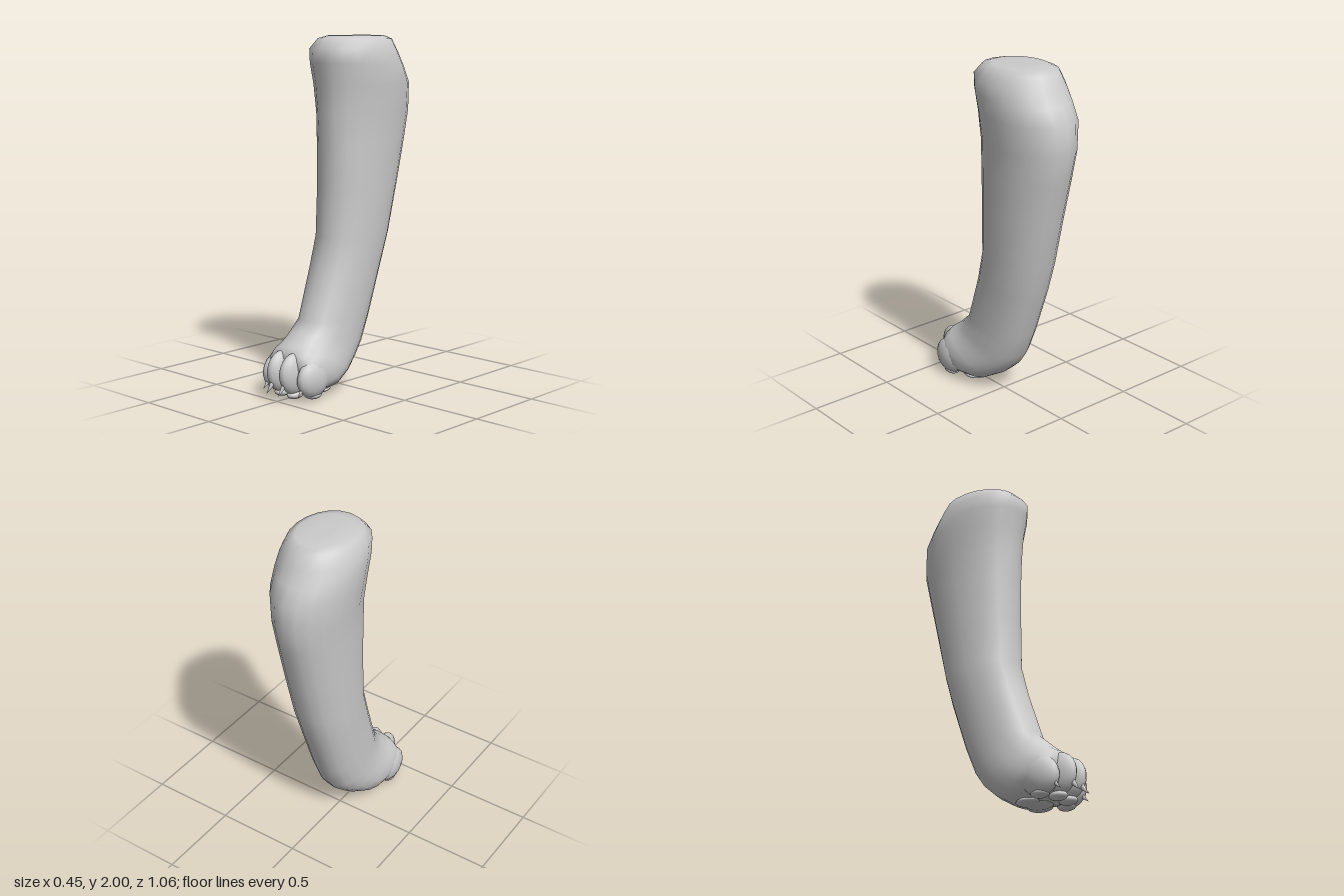
import * as THREE from 'three';

const material = new THREE.MeshStandardMaterial({ color: 0xcccccc, side: THREE.DoubleSide });
const SIDES = 20;

// Each ring: front z, front y, back z, back y, half width, x offset, roundness (below 1 is squarer)
const RINGS = [
  [-0.10, 2.00, -0.20, 2.00, 0.05, 0, 1],
  [0.04, 2.00, -0.32, 2.00, 0.14, 0, 1],
  [0.10, 1.985, -0.37, 1.98, 0.18, 0, 0.95],
  [0.155, 1.93, -0.41, 1.90, 0.215, 0, 0.95],
  [0.15, 1.85, -0.46, 1.82, 0.222, 0, 0.95],
  [0.13, 1.73, -0.515, 1.73, 0.224, 0, 1],
  [0.12, 1.57, -0.523, 1.57, 0.204, 0, 1],
  [0.11, 1.40, -0.48, 1.40, 0.195, 0, 0.95],
  [0.11, 1.15, -0.42, 1.15, 0.185, 0, 0.95],
  [0.115, 0.87, -0.35, 0.87, 0.174, -0.005, 0.92],
  [0.165, 0.69, -0.295, 0.69, 0.165, -0.01, 0.9],
  [0.26, 0.41, -0.20, 0.41, 0.155, -0.01, 0.88],
  [0.32, 0.355, -0.13, 0.25, 0.158, -0.01, 0.85],
  [0.36, 0.32, -0.07, 0.165, 0.165, -0.01, 0.85],
  [0.385, 0.30, 0.01, 0.095, 0.178, -0.005, 0.82],
  [0.405, 0.285, 0.11, 0.035, 0.187, -0.005, 0.8],
  [0.42, 0.265, 0.22, 0.02, 0.185, -0.005, 0.8],
  [0.43, 0.24, 0.34, 0.02, 0.172, -0.005, 0.8],
  [0.43, 0.20, 0.40, 0.05, 0.14, -0.005, 0.9],
];

// Loft closed rings and fan both ends
function loft(rings) {
  const pos = [], index = [];
  const bend = (v, p) => Math.sign(v) * Math.abs(v) ** p;
  for (const [fz, fy, bz, by, w, x, p] of rings) {
    for (let j = 0; j < SIDES; j++) {
      const t = (j / SIDES) * Math.PI * 2;
      const c = bend(Math.cos(t), p);
      pos.push(x + w * bend(Math.sin(t), p), (fy + by) / 2 + c * (fy - by) / 2, (fz + bz) / 2 + c * (fz - bz) / 2);
    }
  }
  for (let i = 0; i < rings.length - 1; i++) {
    for (let j = 0; j < SIDES; j++) {
      const a = i * SIDES + j, d = i * SIDES + (j + 1) % SIDES;
      index.push(a, a + SIDES, d, d, a + SIDES, d + SIDES);
    }
  }
  const addCap = (i, flip) => {
    const [fz, fy, bz, by, , x] = rings[i];
    const centre = pos.length / 3;
    pos.push(x, (fy + by) / 2, (fz + bz) / 2);
    for (let j = 0; j < SIDES; j++) {
      const a = i * SIDES + j, b = i * SIDES + (j + 1) % SIDES;
      index.push(centre, flip ? b : a, flip ? a : b);
    }
  };
  addCap(0, false);
  addCap(rings.length - 1, true);
  const geometry = new THREE.BufferGeometry();
  geometry.setAttribute('position', new THREE.Float32BufferAttribute(pos, 3));
  geometry.setIndex(index);
  geometry.computeVertexNormals();
  return geometry;
}

function add(group, name, geometry) {
  const mesh = new THREE.Mesh(geometry, material);
  mesh.name = name;
  group.add(mesh);
  return mesh;
}

function ellipsoid(group, name, centre, radii, tilt = 0) {
  const mesh = add(group, name, new THREE.SphereGeometry(1, 16, 12));
  mesh.position.set(...centre);
  mesh.scale.set(...radii);
  mesh.rotation.x = tilt;
}

// Curved claw tapering to a point
function claw(group, name, x, y, z) {
  const geometry = new THREE.ConeGeometry(0.018, 0.10, 8, 4);
  const p = geometry.attributes.position;
  for (let i = 0; i < p.count; i++) {
    const s = (p.getY(i) + 0.05) / 0.10;
    p.setZ(i, p.getZ(i) * 1.5 - 0.02 * s * s);
  }
  geometry.computeVertexNormals();
  const mesh = add(group, name, geometry);
  mesh.position.set(x, y, z);
  mesh.rotation.x = Math.PI - 0.5;
}

export function createModel() {
  const model = new THREE.Group();
  model.name = 'animalLeg';
  add(model, 'leg', loft(RINGS));

  const paw = new THREE.Group();
  paw.name = 'paw';
  paw.position.x = -0.005;
  model.add(paw);

  // Two inner and two outer toes, each with a claw and a pad
  for (const [side, label] of [[1, 'left'], [-1, 'right']]) {
    ellipsoid(paw, label + 'InnerToe', [side * 0.048, 0.148, 0.405], [0.053, 0.118, 0.108], 0.15);
    ellipsoid(paw, label + 'OuterToe', [side * 0.135, 0.125, 0.345], [0.058, 0.108, 0.115], 0.15);
    claw(paw, label + 'InnerClaw', side * 0.045, 0.075, 0.492);
    claw(paw, label + 'OuterClaw', side * 0.135, 0.07, 0.43);
    ellipsoid(paw, label + 'InnerToePad', [side * 0.048, 0.03, 0.40], [0.04, 0.025, 0.055]);
    ellipsoid(paw, label + 'OuterToePad', [side * 0.13, 0.032, 0.34], [0.04, 0.025, 0.055]);
    ellipsoid(paw, label + 'HeelPadLobe', [side * 0.055, 0.028, 0.22], [0.06, 0.022, 0.075]);
  }
  ellipsoid(paw, 'heelPad', [0, 0.025, 0.25], [0.07, 0.025, 0.08]);
  return model;
}
